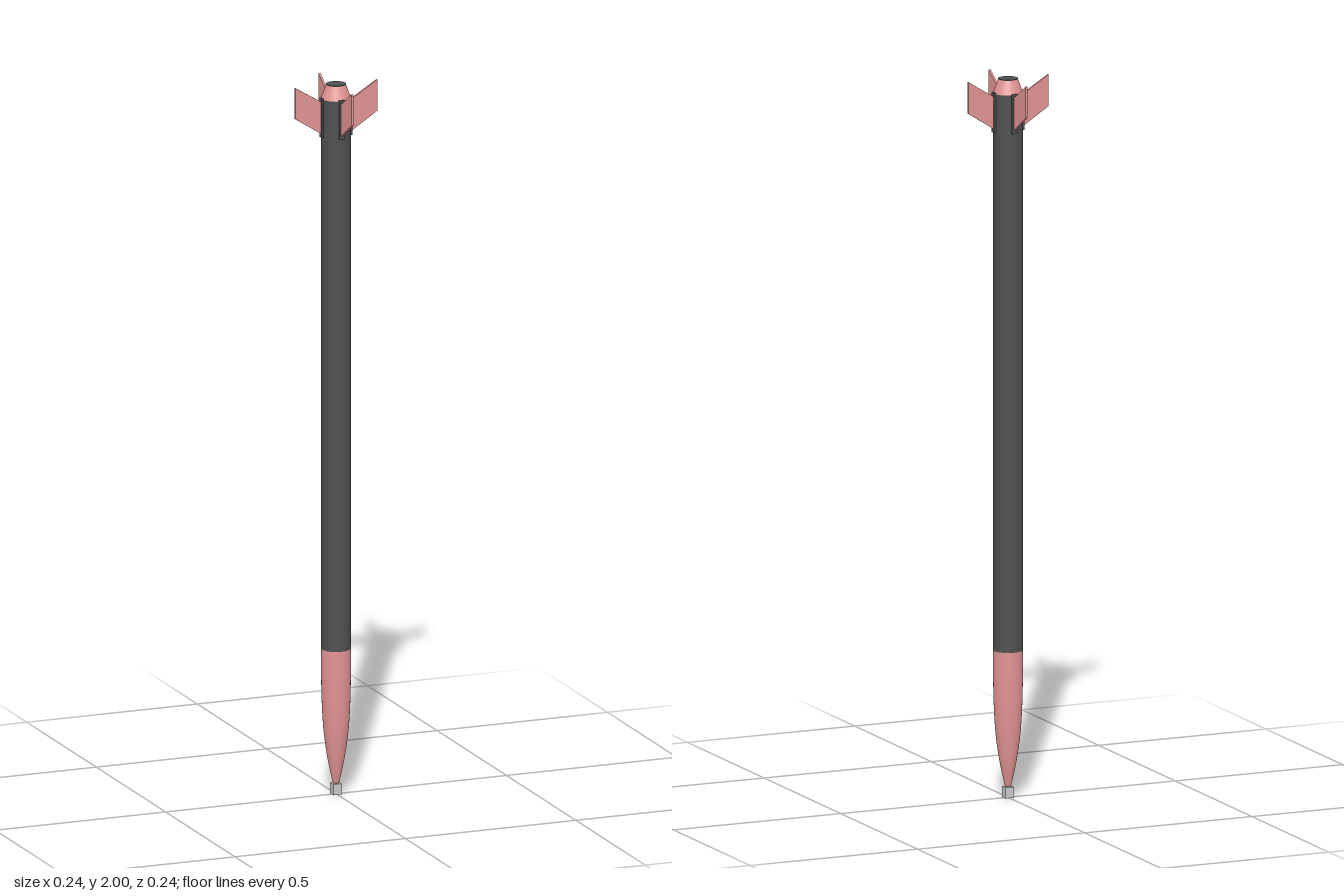
import * as THREE from 'three';

const R = 0.041; // body radius

export function createModel() {
  const model = new THREE.Group();
  const pink = new THREE.MeshStandardMaterial({ color: 0xe29494 });
  const dark = new THREE.MeshStandardMaterial({ color: 0x505050 });
  const grey = new THREE.MeshStandardMaterial({ color: 0xcccccc });

  const add = (parent, name, geometry, material, y = 0) => {
    const mesh = new THREE.Mesh(geometry, material);
    mesh.name = name;
    mesh.position.y = y;
    parent.add(mesh);
    return mesh;
  };

  // Small square fuze at the very bottom
  add(model, 'noseTip', new THREE.BoxGeometry(0.025, 0.03, 0.025), grey, 0.015);

  // Ogive nose pointing down
  const curve = new THREE.SplineCurve([
    [0.008, 0.03], [0.016, 0.065], [0.024, 0.105], [0.032, 0.16],
    [0.037, 0.22], [0.04, 0.3], [R, 0.41],
  ].map(([r, y]) => new THREE.Vector2(r, y)));
  const profile = [new THREE.Vector2(0, 0.03), ...curve.getPoints(24)];
  add(model, 'noseCone', new THREE.LatheGeometry(profile, 32), pink);

  // Long tube
  add(model, 'body', new THREE.CylinderGeometry(R, R, 1.55, 32), dark, 1.185);

  // Tapered tail with a dark nozzle disc on top
  add(model, 'tailCone', new THREE.CylinderGeometry(0.027, R, 0.038, 32, 1, true), pink, 1.979);
  add(model, 'nozzle', new THREE.CylinderGeometry(0.027, 0.027, 0.004, 32), dark, 1.998);

  // Four swept fins, each held by a root bracket
  const outline = new THREE.Shape([
    [0.036, 1.858], [0.12, 1.912], [0.12, 2], [0.036, 1.948],
  ].map(([x, y]) => new THREE.Vector2(x, y)));
  const finGeometry = new THREE.ExtrudeGeometry(outline, { depth: 0.006, bevelEnabled: false });
  finGeometry.translate(0, 0, -0.003);
  const bracketGeometry = new THREE.BoxGeometry(0.012, 0.11, 0.016);

  for (let i = 0; i < 4; i++) {
    const assembly = new THREE.Group();
    assembly.name = 'finAssembly' + (i + 1);
    add(assembly, 'fin', finGeometry, pink);
    add(assembly, 'finBracket', bracketGeometry, dark, 1.908).position.x = 0.039;
    assembly.rotation.y = i * Math.PI / 2;
    model.add(assembly);
  }
  return model;
}
